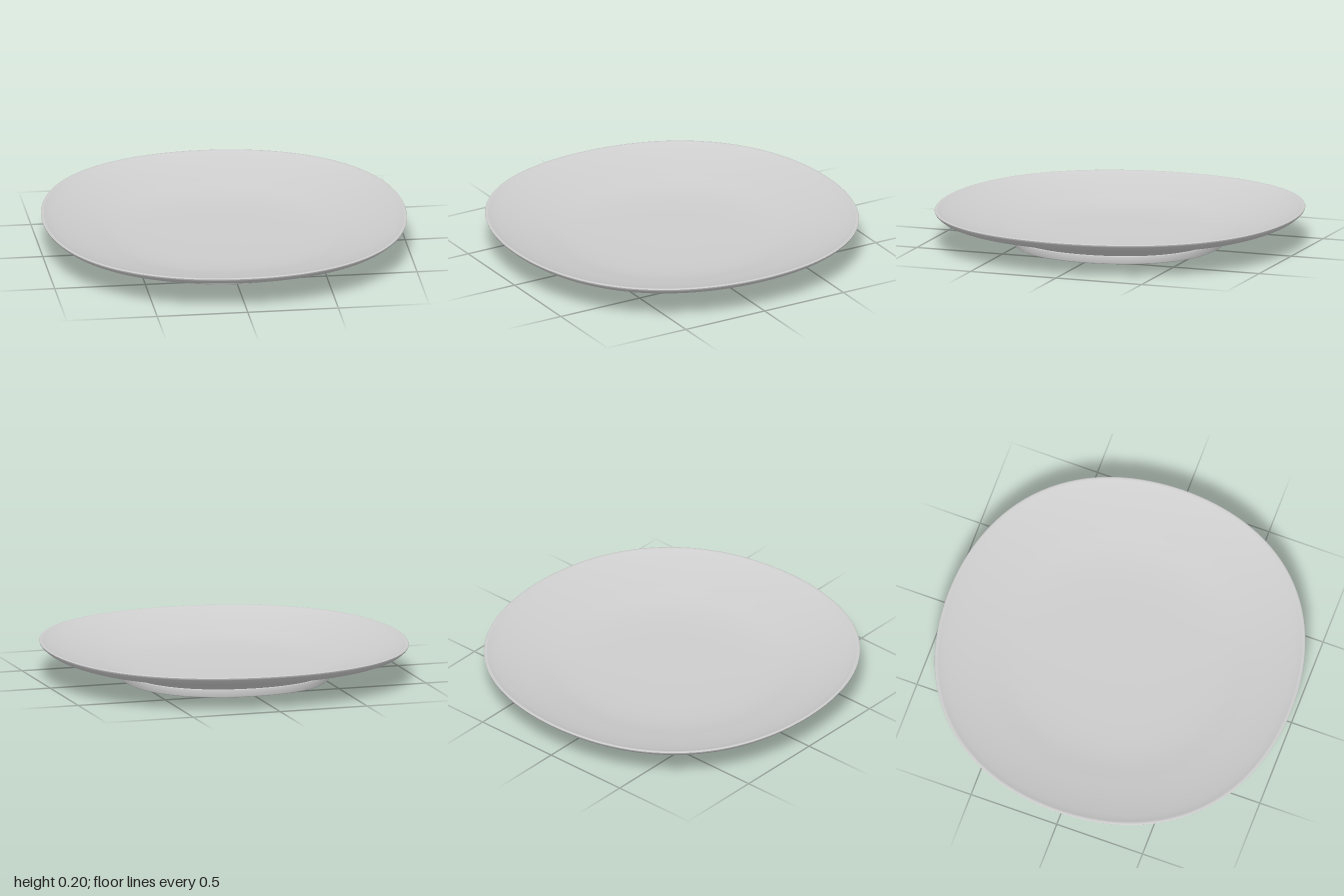
import * as THREE from 'three';
import { mergeVertices } from 'three/addons/utils/BufferGeometryUtils.js';

const SEGMENTS = 128;
const BULGE = 0.03; // how far the outline swells at the diagonals

export function createModel() {
  const plate = new THREE.Group();
  plate.name = 'plate';
  const glaze = new THREE.MeshStandardMaterial({ color: 0xcccccc });
  glaze.name = 'grey glaze';

  // Turns a profile of [radius, height] points, then swells it to a soft square
  function addRing(name, points, smooth) {
    let profile = points.map(([r, y]) => new THREE.Vector2(r, y));
    if (smooth) profile = new THREE.SplineCurve(profile).getPoints(smooth);
    profile.forEach((p) => { p.x = Math.max(p.x, 0); });
    let geometry = new THREE.LatheGeometry(profile, SEGMENTS);
    const pos = geometry.attributes.position;
    for (let i = 0; i < pos.count; i++) {
      const x = pos.getX(i), z = pos.getZ(i);
      const s = 1 + BULGE * (1 - Math.cos(4 * Math.atan2(z, x))) / 2;
      pos.setX(i, x * s);
      pos.setZ(i, z * s);
    }
    geometry.deleteAttribute('uv');
    geometry.deleteAttribute('normal');
    geometry = mergeVertices(geometry, 1e-5);
    geometry.computeVertexNormals();
    const mesh = new THREE.Mesh(geometry, glaze);
    mesh.name = name;
    plate.add(mesh);
  }

  // Profiles run outward underneath and inward on top, so faces point out
  addRing('recessedBase', [[0, 0.025], [0.44, 0.025], [0.5, 0.021], [0.53, 0.012], [0.545, 0.002]]);
  addRing('footRing', [[0.545, 0.002], [0.55, 0], [0.562, 0], [0.569, 0.006], [0.57, 0.04], [0.565, 0.046]]);
  addRing('lowerBody', [[0.565, 0.046], [0.64, 0.078], [0.7, 0.102]]);
  addRing('rimUnderside', [[0.7, 0.102], [0.8, 0.116], [0.9, 0.136], [0.96, 0.157], [0.993, 0.182], [1, 0.195]], 24);
  addRing('lip', [[1, 0.195], [0.998, 0.199], [0.992, 0.2], [0.984, 0.198]]);
  addRing('rimTop', [[0.984, 0.198], [0.95, 0.183], [0.88, 0.16], [0.8, 0.138], [0.71, 0.117]], 16);
  addRing('well', [[0.71, 0.117], [0.64, 0.1], [0.57, 0.088], [0.48, 0.079], [0.36, 0.074], [0.2, 0.072], [0, 0.072]]);
  return plate;
}
